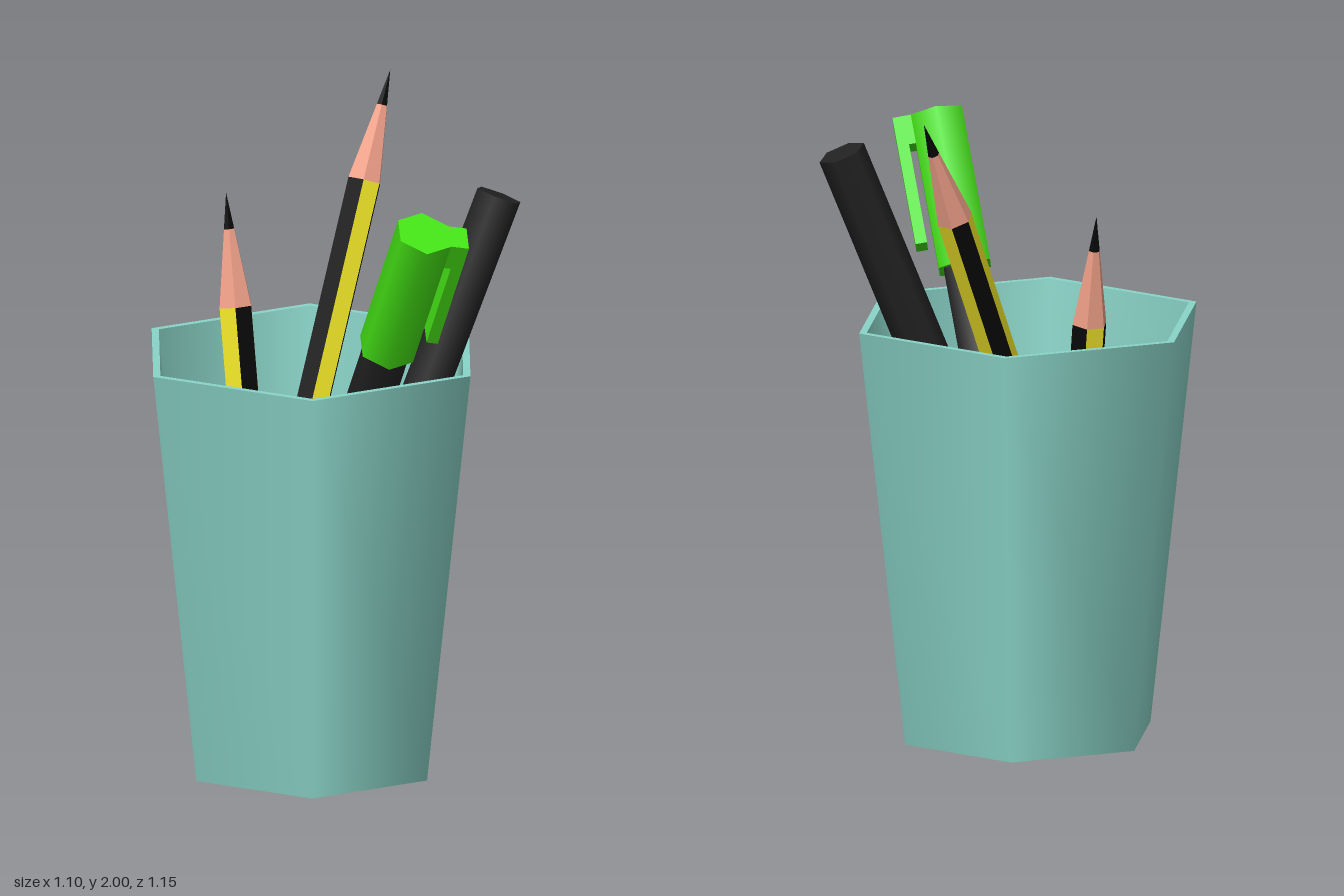
import * as THREE from 'three';
import { mergeGeometries } from 'three/addons/utils/BufferGeometryUtils.js';

const mat = (color, flatShading = false) => new THREE.MeshStandardMaterial({ color, flatShading });
const V = (x, y, z) => new THREE.Vector3(x, y, z);
const STEP = Math.PI / 3;

const MATS = {
  cup: mat(0x8ad4c8),
  yellow: mat(0xf0e628, true),
  paint: mat(0x080808, true),
  wood: mat(0xf0a088, true),
  barrel: mat(0x222222),
  green: mat(0x44e315),
  red: mat(0xe01818),
};

function add(parent, name, geometry, material) {
  const mesh = new THREE.Mesh(geometry, material);
  mesh.name = name;
  parent.add(mesh);
  return mesh;
}

// Six-sided prism or cone between two heights, one flat side facing +z
function hex(rTop, rBottom, y0, y1, open = false) {
  return new THREE.CylinderGeometry(rTop, rBottom, y1 - y0, 6, 1, open, STEP / 2)
    .translate(0, (y0 + y1) / 2, 0);
}

// Group whose y axis runs from one point to another, with +z turned towards a hint
function along(name, from, to, hint) {
  const y = to.clone().sub(from).normalize();
  const z = hint.clone().addScaledVector(y, -hint.dot(y)).normalize();
  const x = y.clone().cross(z);
  const g = new THREE.Group();
  g.name = name;
  g.quaternion.setFromRotationMatrix(new THREE.Matrix4().makeBasis(x, y, z));
  g.position.copy(from);
  return g;
}

// Tapered hexagonal cup: each straight run of the profile is its own smooth band
function makeCup() {
  const profile = [[0, 0], [0.4, 0], [0.55, 1.28], [0.525, 1.28], [0.377, 0.025], [0, 0.025]]
    .map(([r, y]) => new THREE.Vector2(r, y));
  const bands = [];
  for (let i = 0; i < profile.length - 1; i++) {
    bands.push(new THREE.LatheGeometry([profile[i], profile[i + 1]], 6, Math.PI / 2));
  }
  const cup = new THREE.Mesh(mergeGeometries(bands), MATS.cup);
  cup.name = 'cup';
  cup.position.z = -0.095;
  return cup;
}

// Pencil with sides painted alternately, a sharpened wooden cone and a lead point
function makePencil(name, end, tip) {
  const R = 0.055, cone = 0.345, lead = 0.11;
  const g = along(name, end, tip, V(0, 1, 0));
  const length = end.distanceTo(tip), body = length - cone;
  const side = (i) => new THREE.CylinderGeometry(R, R, body, 1, 1, true, (i - 0.5) * STEP, STEP)
    .translate(0, body / 2, 0);
  add(g, 'darkSides', mergeGeometries([0, 2, 4].map(side)), MATS.paint);
  add(g, 'yellowSides', mergeGeometries([1, 3, 5].map(side)), MATS.yellow);
  add(g, 'bluntEnd', new THREE.CircleGeometry(R, 6).rotateX(Math.PI / 2).rotateY(STEP / 2 + Math.PI / 2), MATS.wood);
  const rLead = R * lead / cone;
  add(g, 'sharpenedWood', hex(rLead, R, body, length - lead, true), MATS.wood);
  add(g, 'lead', hex(0, rLead, length - lead, length, true), MATS.paint);
  return g;
}

// Pen measured from the closed end of its cap to the tail of the barrel
function makePen(name, capEnd, tail, clipDirection, capMaterial) {
  const g = along(name, capEnd, tail, clipDirection);
  add(g, 'barrel', hex(0.073, 0.073, 0.1, capEnd.distanceTo(tail)), MATS.barrel);
  add(g, 'cap', hex(0.09, 0.09, 0, 0.486), capMaterial);
  // Clip: a bridge at the closed end carrying a long arm
  add(g, 'clipBridge', new THREE.BoxGeometry(0.088, 0.09, 0.045).translate(0, 0.045, 0.0775), capMaterial);
  add(g, 'clipArm', new THREE.BoxGeometry(0.088, 0.4, 0.035).translate(0, 0.2, 0.1165), capMaterial);
  return g;
}

export function createModel() {
  const model = new THREE.Group();
  model.name = 'penCup';
  model.add(
    makeCup(),
    makePencil('longPencil', V(-0.28, 0.05, -0.105), V(0.5, 2, -0.475)),
    makePencil('shortPencil', V(-0.04, 0.04, -0.265), V(-0.04, 1.68, -0.53)),
    makePen('greenPen', V(0.045, 1.785, 0.5), V(0.088, 0.24, -0.4), V(0.93, -0.19, 0.32), MATS.green),
    makePen('redPen', V(-0.18, 0.105, 0.075), V(0.485, 1.77, 0.193), V(0.22, 0, -0.97), MATS.red),
  );
  return model;
}
